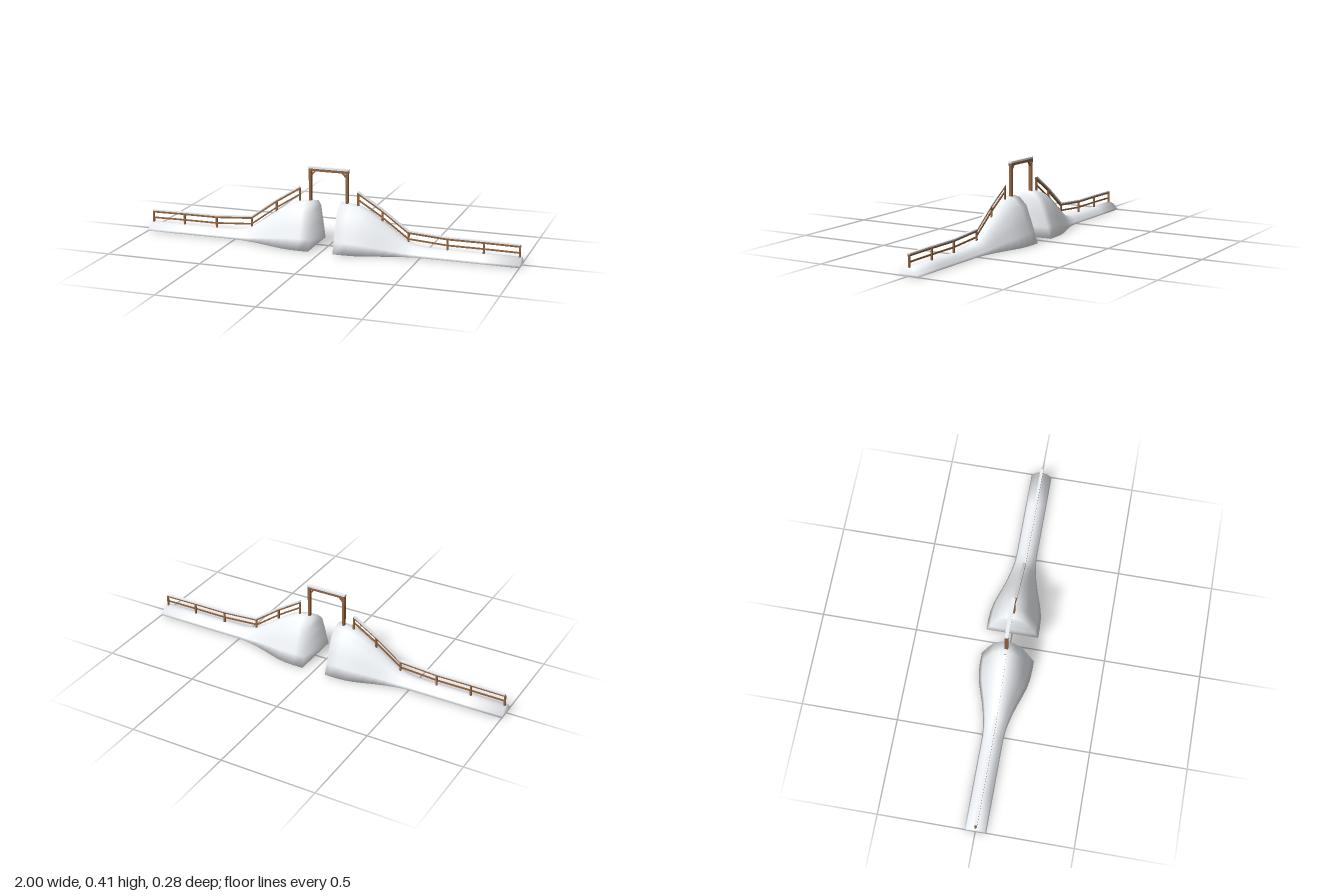
import * as THREE from 'three';

const snow = new THREE.MeshStandardMaterial({ color: 0xeff2f6 });
const wood = new THREE.MeshStandardMaterial({ color: 0x94653f });

// bank stations: distance from the centre, height, half width
const stations = [
  [0.066, 0.236, 0.138], [0.12, 0.234, 0.138], [0.17, 0.224, 0.135], [0.22, 0.202, 0.126],
  [0.27, 0.17, 0.11], [0.32, 0.135, 0.093], [0.37, 0.099, 0.078], [0.42, 0.065, 0.066],
  [0.46, 0.049, 0.059], [0.51, 0.041, 0.055], [0.63, 0.039, 0.055], [0.81, 0.039, 0.055], [1, 0.039, 0.055],
];
// half of the cross-section, as fractions of half width and height
const half = [[1, 0], [0.86, 0.24], [0.73, 0.47], [0.51, 0.81], [0.22, 0.97], [0, 1]];
const section = [...half, ...half.slice(0, -1).reverse().map(([z, y]) => [-z, y])];

// fence posts: distance from the centre, top of the snow
const fence = [[0.157, 0.302], [0.285, 0.222], [0.424, 0.121], [0.625, 0.107], [0.81, 0.107], [0.99, 0.105]];

function groundAt(d) {
  const i = Math.max(1, stations.findIndex((s) => s[0] >= d));
  const [a, b] = [stations[i - 1], stations[i]];
  return THREE.MathUtils.lerp(a[1], b[1], (d - a[0]) / (b[0] - a[0]));
}

function add(parent, name, geometry, material) {
  const mesh = new THREE.Mesh(geometry, material);
  mesh.name = name;
  parent.add(mesh);
  return mesh;
}

function box(parent, name, w, h, d, x, y, z, material) {
  const mesh = add(parent, name, new THREE.BoxGeometry(w, h, d), material);
  mesh.position.set(x, y, z);
  return mesh;
}

// bar between two points in the x-y plane
function bar(parent, name, a, b, thick, depth, z, material) {
  const dx = b[0] - a[0], dy = b[1] - a[1];
  const mesh = box(parent, name, Math.hypot(dx, dy), thick, depth, (a[0] + b[0]) / 2, (a[1] + b[1]) / 2, z, material);
  mesh.rotation.z = Math.atan2(dy, dx);
  return mesh;
}

// closed snow bank whose shading runs smoothly over the base and end edges
function makeBank(side) {
  const rows = stations.map(([d, h, w]) => [side * d, h, w]).sort((a, b) => a[0] - b[0]);
  const n = section.length, last = rows.length - 1, index = [];
  const quad = (a, b, c, d) => index.push(a, b, c, a, c, d);
  for (let i = 0; i < last; i++) {
    for (let j = 0; j < n - 1; j++) quad(i * n + j, (i + 1) * n + j, (i + 1) * n + j + 1, i * n + j + 1);
  }
  const g = new THREE.BufferGeometry();
  const points = rows.flatMap(([x, h, w]) => section.flatMap(([z, y]) => [x, y * h, z * w]));
  g.setAttribute('position', new THREE.Float32BufferAttribute(points, 3));
  g.setIndex(index);
  g.computeVertexNormals();

  // tilt the edge normals towards the base and the end walls
  const normal = g.attributes.normal, v = new THREE.Vector3();
  for (let k = 0; k < normal.count; k++) {
    const i = Math.floor(k / n), j = k % n;
    v.fromBufferAttribute(normal, k);
    if (j === 0 || j === n - 1) v.y -= 1;
    if (i === 0) v.x -= 1;
    if (i === last) v.x += 1;
    v.normalize();
    normal.setXYZ(k, v.x, v.y, v.z);
  }

  // base, then both end walls
  for (let i = 0; i < last; i++) quad(i * n + n - 1, (i + 1) * n + n - 1, (i + 1) * n, i * n);
  const e = last * n;
  for (let j = 0; j < (n - 1) / 2; j++) {
    quad(j, j + 1, n - 2 - j, n - 1 - j);
    quad(e + n - 1 - j, e + n - 2 - j, e + j + 1, e + j);
  }
  g.setIndex(index);
  const bank = new THREE.Group();
  add(bank, side > 0 ? 'leftBank' : 'rightBank', g, snow);
  return bank;
}

function makeFence(side) {
  const group = new THREE.Group();
  group.name = side > 0 ? 'leftFence' : 'rightFence';
  fence.forEach(([d, top], i) => {
    const foot = groundAt(d) - 0.012, x = side * d;
    box(group, 'fencePost', 0.009, top - 0.008 - foot, 0.008, x, (top - 0.008 + foot) / 2, 0, wood);
    if (!i) return;
    const [pd, pt] = fence[i - 1];
    const rail = (name, drop, thick, depth, z, mat) =>
      bar(group, name, [side * pd, pt - drop], [x, top - drop], thick, depth, z, mat);
    rail('railSnow', 0.003, 0.006, 0.015, 0.002, snow);
    rail('topRail', 0.011, 0.01, 0.01, 0.003, wood);
    rail('lowerRail', 0.043, 0.008, 0.005, 0.005, wood);
  });
  return group;
}

function makeGate() {
  const gate = new THREE.Group();
  gate.name = 'gate';
  for (const s of [-1, 1]) {
    box(gate, 'gatePost', 0.013, 0.18, 0.017, s * 0.099, 0.305, 0, wood);
    bar(gate, 'gateBrace', [s * 0.097, 0.362], [s * 0.07, 0.392], 0.007, 0.009, 0, wood);
  }
  box(gate, 'gateBeam', 0.214, 0.013, 0.017, 0, 0.395, 0, wood);
  box(gate, 'gateSnow', 0.216, 0.009, 0.019, 0, 0.406, 0, snow);
  return gate;
}

export function createModel() {
  const model = new THREE.Group();
  model.name = 'snowyGateway';
  for (const side of [-1, 1]) model.add(makeBank(side), makeFence(side));
  model.add(makeGate());
  return model;
}
